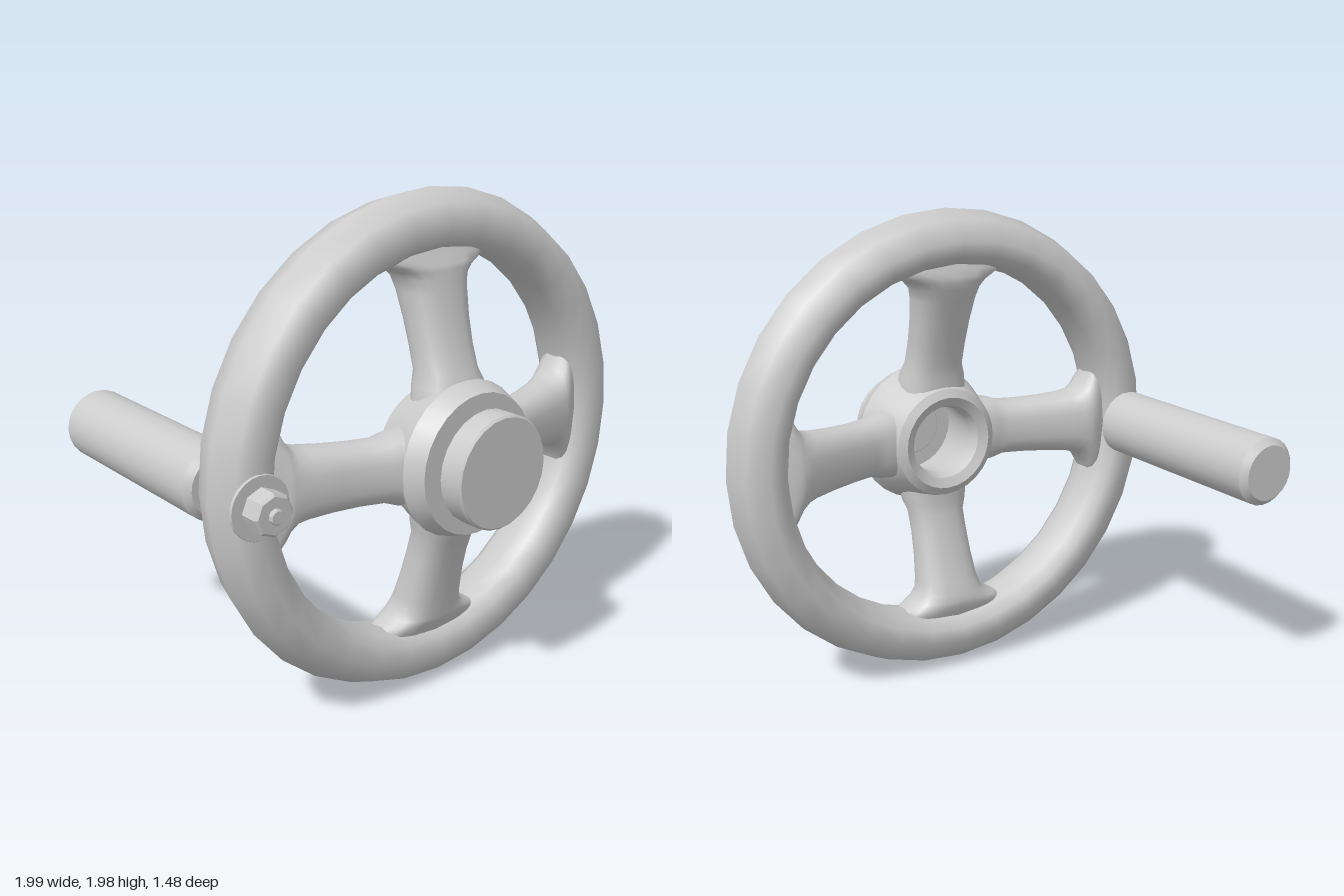
import * as THREE from 'three';
import { mergeVertices, toCreasedNormals } from 'three/addons/utils/BufferGeometryUtils.js';

const material = new THREE.MeshStandardMaterial({ color: 0xcccccc });
const AXLE_Y = 1;
const GRIP_X = -0.86;

// Turned part around the z axis; profile is [radius, z], outer side running towards +z
function turned(name, profile, segments, x = 0, crease = 0.6) {
  const points = profile.map(([r, z]) => new THREE.Vector2(r, z));
  let geometry = new THREE.LatheGeometry(points, segments);
  geometry.rotateX(Math.PI / 2);
  geometry.deleteAttribute('uv');
  geometry.deleteAttribute('normal');
  geometry = mergeVertices(geometry, 1e-4);
  geometry.computeVertexNormals();
  if (crease) geometry = toCreasedNormals(geometry, crease);
  const mesh = new THREE.Mesh(geometry, material);
  mesh.name = name;
  mesh.position.set(x, AXLE_Y, 0);
  return mesh;
}

// Solid disc or rod with chamfered ends
function rod(name, radius, z0, z1, chamfer, segments, x) {
  return turned(name, [
    [0, z0], [radius - chamfer, z0], [radius, z0 + chamfer],
    [radius, z1 - chamfer], [radius - chamfer, z1], [0, z1],
  ], segments, x, 0.5);
}

// Spoke along +x, lofted through rounded sections
function spokeGeometry() {
  // distance from axle, half width, back z, front z
  const sections = [
    [0.20, 0.15, 0.32, 0.57], [0.28, 0.14, 0.32, 0.545], [0.33, 0.122, 0.315, 0.52],
    [0.42, 0.122, 0.29, 0.487], [0.52, 0.127, 0.26, 0.46], [0.62, 0.137, 0.225, 0.44],
    [0.67, 0.15, 0.205, 0.43], [0.70, 0.18, 0.20, 0.425], [0.72, 0.22, 0.20, 0.42],
    [0.75, 0.28, 0.21, 0.40], [0.80, 0.28, 0.23, 0.38],
  ];
  const sides = 20;
  const round = (v) => Math.sign(v) * Math.abs(v) ** 0.8;
  const positions = [];
  const indices = [];
  sections.forEach(([r, half, back, front], i) => {
    for (let j = 0; j < sides; j++) {
      const a = (j / sides) * Math.PI * 2;
      positions.push(r, half * round(Math.cos(a)),
        (front + back) / 2 + ((front - back) / 2) * round(Math.sin(a)));
      if (i === 0) continue;
      const k = (j + 1) % sides;
      const p = (i - 1) * sides;
      const q = i * sides;
      indices.push(p + j, p + k, q + j, p + k, q + k, q + j);
    }
  });
  const geometry = new THREE.BufferGeometry();
  geometry.setAttribute('position', new THREE.Float32BufferAttribute(positions, 3));
  geometry.setIndex(indices);
  geometry.computeVertexNormals();
  return geometry;
}

export function createModel() {
  const model = new THREE.Group();
  model.name = 'handwheel';

  // Rim with an oval section
  model.add(turned('rim', [
    [0.76, 0.31], [0.775, 0.21], [0.81, 0.165], [0.87, 0.148], [0.955, 0.195], [0.99, 0.31],
    [0.945, 0.41], [0.87, 0.44], [0.80, 0.42], [0.77, 0.375], [0.76, 0.31],
  ], 32, 0, 0));

  // Hollow hub, open at the back and front
  model.add(turned('hub', [
    [0.145, 0.36], [0.16, 0.31], [0.20, 0.29], [0.235, 0.31], [0.26, 0.38], [0.29, 0.47],
    [0.307, 0.53], [0.275, 0.612], [0.19, 0.612], [0.16, 0.46], [0.145, 0.36],
  ], 28));

  // Four spokes
  const spoke = spokeGeometry();
  for (let i = 0; i < 4; i++) {
    const mesh = new THREE.Mesh(spoke, material);
    mesh.name = `spoke${i + 1}`;
    mesh.position.y = AXLE_Y;
    mesh.rotation.z = (i * Math.PI) / 2;
    model.add(mesh);
  }

  // Centre knob and its short neck
  model.add(rod('knob', 0.22, 0.63, 0.737, 0.008, 24, 0));
  model.add(rod('knobNeck', 0.125, 0.605, 0.635, 0.003, 20, 0));

  // Grip at the back, fastened through the rim
  model.add(rod('grip', 0.14, -0.742, 0.18, 0.026, 24, GRIP_X));
  model.add(rod('washer', 0.12, 0.432, 0.445, 0.002, 24, GRIP_X - 0.005));
  model.add(rod('nut', 0.08, 0.44, 0.53, 0.01, 8, GRIP_X - 0.005));
  model.add(rod('stud', 0.028, 0.40, 0.548, 0.004, 10, GRIP_X - 0.005));

  return model;
}
